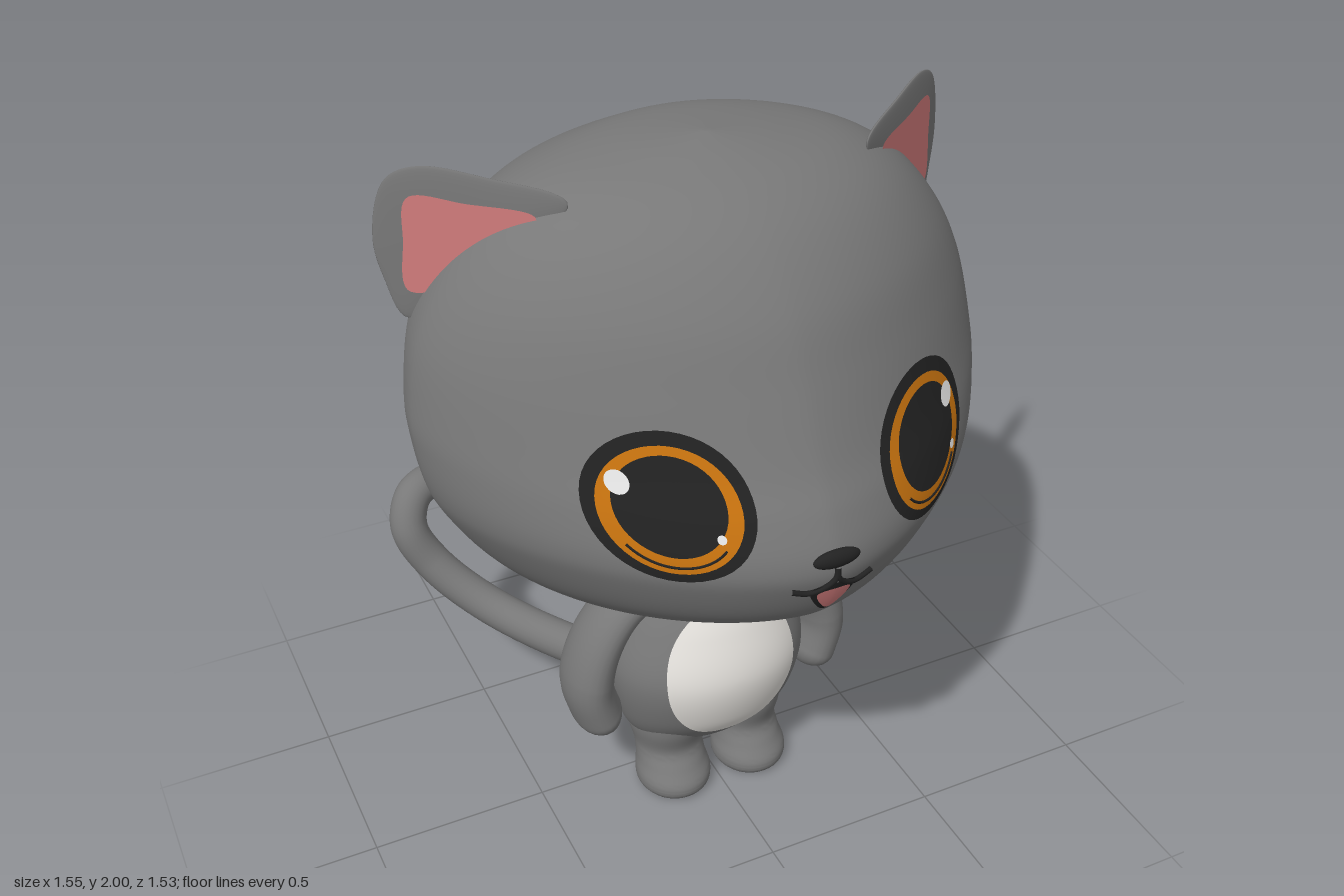
import * as THREE from 'three';
import { mergeVertices, toCreasedNormals } from 'three/addons/utils/BufferGeometryUtils.js';

const mat = (name, color) => {
  const m = new THREE.MeshStandardMaterial({ color });
  m.name = name;
  return m;
};
const V = (x, y, z = 0) => new THREE.Vector3(x, y, z);

// Weld and smooth a geometry using positions only
function smooth(geo) {
  geo.deleteAttribute('uv');
  geo.deleteAttribute('normal');
  const g = mergeVertices(geo, 1e-5);
  g.computeVertexNormals();
  return g;
}

// Surface from rings of points; fn(i, j) returns a Vector3, columns wrap around
function rings(rows, cols, fn) {
  const pos = [], index = [];
  for (let i = 0; i <= rows; i++)
    for (let j = 0; j < cols; j++) {
      pos.push(...fn(i, j).toArray());
      if (i === rows) continue;
      const a = i * cols + j, b = i * cols + (j + 1) % cols;
      index.push(a, b, a + cols, b, b + cols, a + cols);
    }
  const g = new THREE.BufferGeometry();
  g.setAttribute('position', new THREE.Float32BufferAttribute(pos, 3));
  g.setIndex(index);
  return smooth(g);
}

// Smooth interpolation through table rows
function sampleRows(rows, t) {
  const n = rows.length - 1, i = Math.min(Math.floor(t), n - 1), f = t - i;
  const at = k => rows[Math.max(0, Math.min(n, k))];
  return rows[0].map((_, k) => {
    const [a, b, c, d] = [at(i - 1)[k], at(i)[k], at(i + 1)[k], at(i + 2)[k]];
    return b + 0.5 * f * (c - a + f * (2 * a - 5 * b + 4 * c - d + f * (3 * (b - c) + d - a)));
  });
}

// Cross-section point; rows are [y, half width, front z, back z, centre x]
function sectionPoint([y, w, zf, zb, cx = 0], angle, power) {
  const c = Math.cos(angle), s = Math.sin(angle), e = 2 / power(y, s);
  return V(cx + Math.max(w, 0) * Math.sign(c) * Math.abs(c) ** e, y,
    (zf + zb) / 2 + (zf - zb) / 2 * Math.sign(s) * Math.abs(s) ** e);
}
const round = () => 2;

function loft(rows, steps, cols, power = round, flatEnd = false) {
  const last = rows.length - 1;
  return rings(steps + (flatEnd ? 1 : 0), cols, (i, j) => {
    const r = sampleRows(rows, Math.min(i / steps, 1) * last);
    if (i > steps) return V(r[4] ?? 0, r[0], (r[2] + r[3]) / 2);
    return sectionPoint(r, j / cols * Math.PI * 2, power);
  });
}

// Point on the front of a loft at (x, y), lifted along the normal
function frontOf(rows, power = round) {
  const z = (x, y) => {
    let lo = 0, hi = rows.length - 1;
    for (let k = 0; k < 40; k++) {
      const mid = (lo + hi) / 2;
      if (sampleRows(rows, mid)[0] > y) lo = mid; else hi = mid;
    }
    const [, w, zf, zb] = sampleRows(rows, lo), p = power(y, 1);
    return (zf + zb) / 2 + (zf - zb) / 2 * Math.max(0, 1 - Math.abs(x / w) ** p) ** (1 / p);
  };
  return (x, y, lift) => {
    const h = 0.01;
    const n = V((z(x - h, y) - z(x + h, y)) / (2 * h), (z(x, y - h) - z(x, y + h)) / (2 * h), 1).normalize();
    return V(x, y, z(x, y)).addScaledVector(n, lift);
  };
}

// Outlines, always counter-clockwise
const ccw = pts => THREE.ShapeUtils.area(pts) < 0 ? pts.reverse() : pts;
const ellipse = (cx, cy, rx, ry = rx, n = 48) => Array.from({ length: n }, (_, i) => {
  const a = i / n * Math.PI * 2;
  return V(cx + rx * Math.cos(a), cy + ry * Math.sin(a));
});
const closed = (pts, side = 1, n = 64) => ccw(new THREE.CatmullRomCurve3(
  pts.map(([x, y]) => V(x * side, y)), true).getPoints(n).slice(0, n));
const middle = pts => pts.reduce((s, p) => s.add(p), V(0, 0)).divideScalar(pts.length);

// Thin painted patch following a surface
function patch(outline, place, lift, steps = 10) {
  const c = middle(outline);
  return rings(steps, outline.length, (i, j) => {
    const p = outline[j].clone().lerp(c, i / steps);
    return place(p.x, p.y, lift);
  });
}

// Tube with a radius that varies along its length
function limb(points, radius, seg = 100, radial = 24) {
  const curve = new THREE.CatmullRomCurve3(points);
  const g = new THREE.TubeGeometry(curve, seg, 1, radial);
  const p = g.attributes.position, v = V(0, 0);
  for (let k = 0; k < p.count; k++) {
    const u = Math.floor(k / (radial + 1)) / seg, c = curve.getPointAt(u);
    v.fromBufferAttribute(p, k).sub(c).multiplyScalar(radius(u)).add(c);
    p.setXYZ(k, v.x, v.y, v.z);
  }
  return smooth(g);
}
const tip = (u, e) => Math.sqrt(Math.max(0, 1 - Math.max(0, (u - 1 + e) / e) ** 2));

const HEAD = [
  [2.0, 0, 0.06, 0.06], [1.976, 0.2, 0.17, -0.16], [1.93, 0.39, 0.29, -0.28],
  [1.85, 0.535, 0.4, -0.41], [1.72, 0.655, 0.505, -0.53], [1.57, 0.735, 0.58, -0.605],
  [1.4, 0.77, 0.66, -0.64], [1.3, 0.77, 0.715, -0.655], [1.2, 0.755, 0.752, -0.665],
  [1.12, 0.725, 0.742, -0.66], [1.0, 0.655, 0.675, -0.63], [0.9, 0.575, 0.55, -0.585],
  [0.82, 0.47, 0.41, -0.51], [0.76, 0.3, 0.235, -0.38], [0.73, 0.14, 0.05, -0.22], [0.72, 0, -0.08, -0.08],
];
const headPower = (y, s) => 2 - (s > 0 ? 0.42 : 0.28) * Math.max(0, 1 - ((y - 1.25) / 0.75) ** 2);
const BODY = [
  [0.8, 0.14, 0.15, -0.08], [0.73, 0.19, 0.185, -0.115], [0.6, 0.25, 0.245, -0.155], [0.45, 0.29, 0.28, -0.17],
  [0.3, 0.27, 0.245, -0.14], [0.2, 0.225, 0.18, -0.09], [0.15, 0.13, 0.13, -0.04], [0.135, 0, 0.05, 0.05],
];
const LEG = [
  [0.32, 0.1, 0.18, -0.08, 0.13], [0.22, 0.11, 0.175, -0.08, 0.125], [0.14, 0.1, 0.158, -0.045, 0.12],
  [0.09, 0.1, 0.185, -0.03, 0.122], [0.05, 0.108, 0.213, -0.022, 0.123],
  [0.02, 0.107, 0.215, -0.02, 0.123], [0, 0.095, 0.2, -0.008, 0.123],
];
const EAR = [[0.39, 1.93], [0.54, 1.973], [0.67, 1.988], [0.735, 1.95], [0.772, 1.8],
  [0.758, 1.69], [0.72, 1.59], [0.6, 1.68], [0.48, 1.8]];
const EAR_INSIDE = [[0.45, 1.893], [0.58, 1.91], [0.69, 1.915], [0.708, 1.8], [0.706, 1.67], [0.58, 1.72], [0.46, 1.85]];

export function createModel() {
  const grey = mat('grey fur', 0x787878), white = mat('belly white', 0xe6e3de);
  const black = mat('dark', 0x222222), orange = mat('iris orange', 0xc8730f);
  const pink = mat('ear pink', 0xd27c7c), shine = mat('eye shine', 0xf2f2f2);
  const model = new THREE.Group();
  const add = (name, geo, material) => {
    const m = new THREE.Mesh(geo, material);
    m.name = name;
    model.add(m);
    return m;
  };

  // Head, body and belly
  const onHead = frontOf(HEAD, headPower), onBody = frontOf(BODY);
  add('head', loft(HEAD, 120, 128, headPower), grey);
  add('body', loft(BODY, 70, 64), grey);
  add('belly', patch(ellipse(0, 0.467, 0.193, 0.233, 64), onBody, 0.005, 16), white);

  for (const side of [1, -1]) {
    const label = side > 0 ? 'left' : 'right';

    // Legs with flat soles
    const leg = loft(LEG.map(r => [...r.slice(0, 4), r[4] * side]), 36, 40, round, true);
    add(label + 'Leg', toCreasedNormals(leg, 0.8), grey);

    // Arms, deeper than they are wide
    const armPath = [[0.17, 0.72], [0.265, 0.655], [0.335, 0.55], [0.365, 0.43], [0.348, 0.34], [0.315, 0.26]];
    const arm = limb(armPath.map(([x, y]) => V(x * side, y)), u => (0.055 + 0.015 * Math.min(1, u * 1.6)) * tip(u, 0.13));
    arm.scale(1, 1, 1.5).translate(0, 0, 0.055).computeVertexNormals();
    add(label + 'Arm', arm, grey);

    // Ears, thin lenses turned outward, with a pink inside
    const onEar = (x, y, w) => V(x + 0.6 * side * w, y, 0.14 - (Math.abs(x) - 0.395) * 0.747 + 0.8 * w);
    const rim = closed(EAR, side), centre = middle(rim);
    add(label + 'Ear', rings(24, rim.length, (i, j) => {
      const a = Math.PI * (1 - i / 24), c = Math.cos(a);
      const p = centre.clone().lerp(rim[j], Math.sin(a));
      return onEar(p.x, p.y, c * (c > 0 ? 0.01 : 0.028));
    }), grey);
    add(label + 'EarInside', patch(closed(EAR_INSIDE, side), onEar, 0.013, 4), pink);

    // Eyes in layers
    const ex = 0.337 * side;
    add(label + 'EyeRim', patch(ellipse(ex, 1.34, 0.172), onHead, 0.004), black);
    add(label + 'Iris', patch(ellipse(ex, 1.336, 0.144), onHead, 0.007), orange);
    add(label + 'Pupil', patch(ellipse(ex, 1.346, 0.113), onHead, 0.01), black);
    const arc = Array.from({ length: 13 }, (_, i) => {
      const a = (220 + i / 12 * 100) * Math.PI / 180;
      return onHead(ex + 0.128 * Math.cos(a), 1.336 + 0.128 * Math.sin(a), 0.007);
    });
    add(label + 'IrisLine', limb(arc, () => 0.0035, 30, 6), black);
    add(label + 'EyeShine', patch(ellipse(ex + 0.094 * side, 1.395, 0.024, 0.028, 24), onHead, 0.014, 4), shine);
    add(label + 'EyeGlint', patch(ellipse(ex + 0.091, 1.28, 0.01, 0.011, 16), onHead, 0.014, 2), shine);

    // Half of the mouth line
    const lip = [[0, 1.19], [0.004, 1.16], [0.03, 1.135], [0.065, 1.124], [0.105, 1.135]];
    add(label + 'Lip', limb(lip.map(([x, y]) => onHead(x * side, y, 0.005)), () => 0.007, 30, 8), black);
  }

  // Nose and open mouth
  const nose = add('nose', new THREE.SphereGeometry(1, 32, 16).scale(0.062, 0.024, 0.018), black);
  nose.position.copy(onHead(0, 1.212, 0));
  const mouth = [[-0.058, 1.13], [0, 1.145], [0.058, 1.13], [0.035, 1.07], [0, 1.035], [-0.035, 1.07]];
  add('mouth', patch(closed(mouth), onHead, 0.005, 6), black);
  const tongue = mouth.map(([x, y]) => [x * 0.72, 1.092 + (y - 1.092) * 0.72]);
  add('tongue', patch(closed(tongue), onHead, 0.009, 6), pink);

  // Curled tail
  const tail = [[-0.1, 0.28, -0.06], [-0.28, 0.29, -0.25], [-0.47, 0.36, -0.46], [-0.6, 0.49, -0.57],
    [-0.65, 0.61, -0.61], [-0.615, 0.69, -0.65], [-0.54, 0.7, -0.685], [-0.485, 0.65, -0.71], [-0.485, 0.56, -0.715]];
  add('tail', limb(tail.map(p => V(...p)), u => (0.06 - 0.008 * u) * tip(u, 0.045), 160), grey);

  return model;
}
